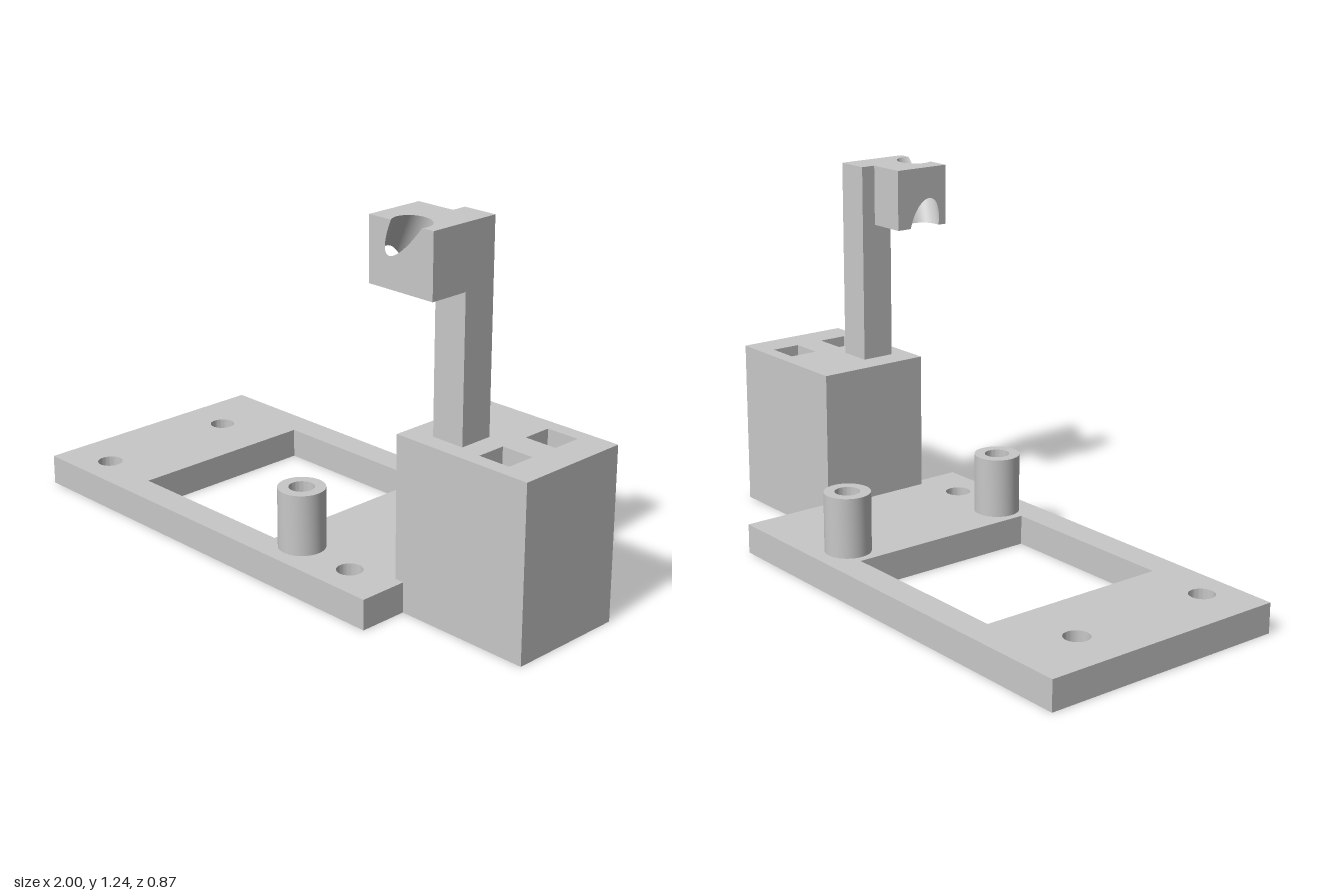
import * as THREE from 'three';
import { toCreasedNormals } from 'three/addons/utils/BufferGeometryUtils.js';

const grey = new THREE.MeshStandardMaterial({ color: 0xc8c8c8 });
grey.name = 'grey plastic';

const V2 = (x, y) => new THREE.Vector2(x, y);

function add(parent, name, geometry) {
  const mesh = new THREE.Mesh(geometry, grey);
  mesh.name = name;
  parent.add(mesh);
  return mesh;
}

// Plan drawings use (x, z); they are extruded upwards from y0 to y1.
// Reversing keeps the flipped outline counter-clockwise, so hole walls face inwards.
function slab(outline, holes, y0, y1) {
  const flip = (pts) => pts.map((p) => V2(p.x, -p.y)).reverse();
  const shape = new THREE.Shape(flip(outline));
  shape.holes = holes.map((h) => new THREE.Path(flip(h)));
  const g = new THREE.ExtrudeGeometry(shape, { depth: y1 - y0, bevelEnabled: false });
  g.rotateX(-Math.PI / 2).translate(0, y0, 0);
  return toCreasedNormals(g, 0.6);
}

const rect = (x0, x1, z0, z1) => [V2(x0, z0), V2(x1, z0), V2(x1, z1), V2(x0, z1)];

function circle(x, z, r, n = 40) {
  return Array.from({ length: n }, (_, i) => {
    const a = (i / n) * Math.PI * 2;
    return V2(x + r * Math.cos(a), z + r * Math.sin(a));
  });
}

// Clamp head: a box cut by a slanted bore that breaks out at two opposite edges
const LO = [0.455, 1.033, 0.14], HI = [0.703, 1.235, 0.34];
const BORE_R = 0.057, BORE_N = 128;
const boreDir = new THREE.Vector3(0.135, 0.2, 0.06).normalize();
const boreStart = new THREE.Vector3(0.595, 1.235, 0.312);
const e1 = new THREE.Vector3(0, 0, 1).cross(boreDir).normalize();
const e2 = boreDir.clone().cross(e1);

function boreRay(i) {
  const a = (i / BORE_N) * Math.PI * 2;
  const radial = e1.clone().multiplyScalar(Math.cos(a)).addScaledVector(e2, Math.sin(a));
  return { radial, point: boreStart.clone().addScaledVector(radial, BORE_R) };
}

// Wall of the bore, trimmed to the box
function boreWall() {
  const pos = [], nor = [], index = [];
  const d = boreDir.toArray();
  for (let i = 0; i <= BORE_N; i++) {
    const { radial, point } = boreRay(i);
    const p = point.toArray();
    const t0 = Math.max(...d.map((v, k) => (LO[k] - p[k]) / v));
    const t1 = Math.min(...d.map((v, k) => (HI[k] - p[k]) / v));
    for (const t of [t0, Math.max(t0, t1)]) {
      pos.push(...point.clone().addScaledVector(boreDir, t).toArray());
      nor.push(-radial.x, -radial.y, -radial.z);
    }
    if (i < BORE_N) {
      const a = i * 2;
      index.push(a, a + 1, a + 3, a, a + 3, a + 2);
    }
  }
  const g = new THREE.BufferGeometry();
  g.setAttribute('position', new THREE.Float32BufferAttribute(pos, 3));
  g.setAttribute('normal', new THREE.Float32BufferAttribute(nor, 3));
  g.setIndex(index);
  return g;
}

// One box face: n = normal axis, u = axis along the opened edge, v = axis away from it.
// high: face on the upper side; edgeHigh: opened edge on the upper side; cut: has an opening.
function headFace(n, u, v, high, edgeHigh, cut) {
  const plane = (high ? HI : LO)[n];
  const edge = (edgeHigh ? HI : LO)[v], far = (edgeHigh ? LO : HI)[v];
  const outline = [V2(LO[u], edge)];
  if (cut) {
    const ring = [];
    for (let i = 0; i < BORE_N; i++) {
      const { point } = boreRay(i);
      const t = (plane - point.getComponent(n)) / boreDir.getComponent(n);
      point.addScaledVector(boreDir, t);
      ring.push(V2(point.getComponent(u), point.getComponent(v)));
    }
    const inside = (p) => (edgeHigh ? p.y < edge : p.y > edge);
    const at = (i) => ring[(i + BORE_N) % BORE_N];
    let s = 0;
    while (!(inside(at(s)) && !inside(at(s - 1)))) s++;
    // where the ellipse crosses the edge
    const cross = (a, b) => V2(a.x + ((b.x - a.x) * (edge - a.y)) / (b.y - a.y), edge);
    const arc = [cross(at(s - 1), at(s))];
    for (; inside(at(s)); s++) arc.push(at(s));
    arc.push(cross(at(s - 1), at(s)));
    if (arc[0].x > arc[arc.length - 1].x) arc.reverse();
    outline.push(...arc);
  }
  outline.push(V2(HI[u], edge), V2(HI[u], far), V2(LO[u], far));

  const pos = [];
  for (const tri of THREE.ShapeUtils.triangulateShape(outline, [])) {
    const c = tri.map((k) => {
      const p = new THREE.Vector3().setComponent(n, plane);
      return p.setComponent(u, outline[k].x).setComponent(v, outline[k].y);
    });
    const normal = c[1].clone().sub(c[0]).cross(c[2].clone().sub(c[0]));
    if (normal.getComponent(n) > 0 !== high) c.reverse();
    c.forEach((p) => pos.push(p.x, p.y, p.z));
  }
  const g = new THREE.BufferGeometry();
  g.setAttribute('position', new THREE.Float32BufferAttribute(pos, 3));
  g.computeVertexNormals();
  return g;
}

export function createModel() {
  const model = new THREE.Group();
  model.name = 'mountingBracket';

  // Base plate with window, screw holes and a recess for the block
  const standoffs = [[0.135, -0.309], [0.135, 0.309]];
  const plateHoles = [rect(-0.6, 0.033, -0.333, 0.333)];
  for (const x of [-0.826, 0.359]) for (const z of [-0.188, 0.32]) plateHoles.push(circle(x, z, 0.042));
  for (const [x, z] of standoffs) plateHoles.push(circle(x, z, 0.041));
  const plateOutline = [
    V2(-1, -0.433), V2(0.533, -0.433), V2(0.533, -0.132), V2(0.5, -0.132),
    V2(0.5, 0.267), V2(0.533, 0.267), V2(0.533, 0.433), V2(-1, 0.433),
  ];
  add(model, 'basePlate', slab(plateOutline, plateHoles, 0, 0.1));

  // Hollow standoffs
  for (const [x, z] of standoffs) {
    add(model, 'standoff', slab(circle(x, z, 0.076), [circle(x, z, 0.041)], 0.1, 0.3));
  }

  // Block with two square through holes
  const slots = [rect(0.779, 0.891, -0.083, 0.017), rect(0.779, 0.891, 0.117, 0.217)];
  add(model, 'block', slab(rect(0.5, 1, -0.132, 0.267), slots, 0, 0.567));

  // Post, stepped at the top to receive the head; profile in (-z, y), extruded along x
  const profile = new THREE.Shape([
    V2(-0.09, 0.567), V2(-0.09, 1.235), V2(-0.14, 1.235),
    V2(-0.14, 1.033), V2(-0.206, 1.033), V2(-0.206, 0.567),
  ]);
  const post = new THREE.ExtrudeGeometry(profile, { depth: 0.115, bevelEnabled: false });
  post.rotateY(Math.PI / 2).translate(0.588, 0, 0);
  add(model, 'post', post);

  // Clamp head
  const head = new THREE.Group();
  head.name = 'clampHead';
  add(head, 'headTop', headFace(1, 0, 2, true, true, true));
  add(head, 'headFront', headFace(2, 0, 1, true, true, true));
  add(head, 'headRight', headFace(0, 2, 1, false, false, true));
  add(head, 'headBottom', headFace(1, 2, 0, false, false, true));
  add(head, 'headLeft', headFace(0, 2, 1, true, false, false));
  add(head, 'headBack', headFace(2, 0, 1, false, false, false));
  add(head, 'headBore', boreWall());
  model.add(head);

  return model;
}
